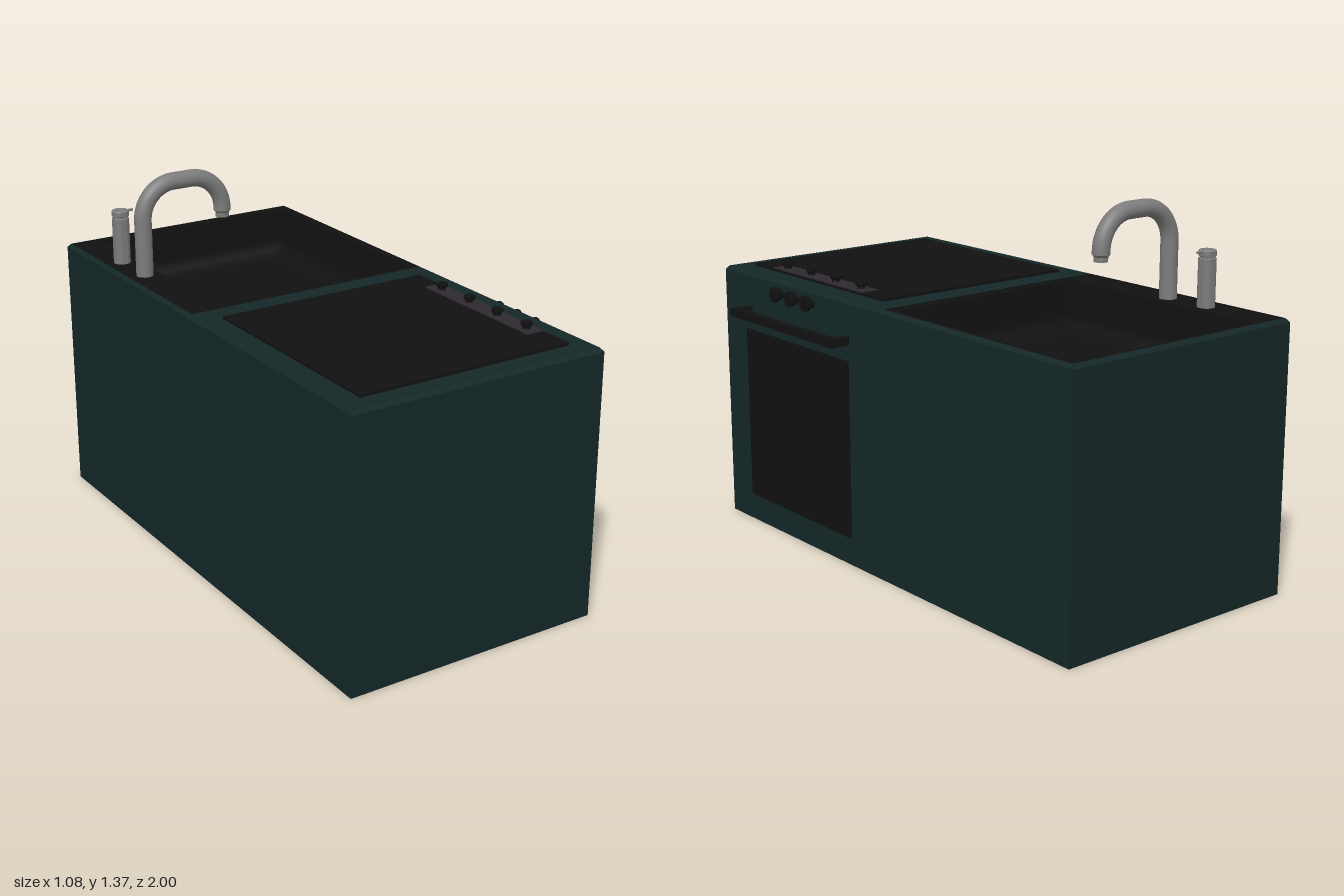
import * as THREE from 'three';
import { toCreasedNormals } from 'three/addons/utils/BufferGeometryUtils.js';

const mat = (color, extra = {}) => new THREE.MeshStandardMaterial({ color, ...extra });
const green = mat(0x142727), black = mat(0x111111), strip = mat(0x2d2930), steel = mat(0x7c7c7c);

// Surface through rectangular rings [x0, x1, z0, z1, y]; a ring may shrink to a point
function loft(rings) {
  const corners = ([x0, x1, z0, z1, y]) =>
    [[x0, y, z1], [x1, y, z1], [x1, y, z0], [x0, y, z0]].map(p => new THREE.Vector3(...p));
  const pos = [];
  const tri = (a, b, c) => {
    if (new THREE.Triangle(a, b, c).getArea() > 1e-9) for (const p of [a, b, c]) pos.push(p.x, p.y, p.z);
  };
  for (let i = 0; i + 1 < rings.length; i++) {
    const lo = corners(rings[i]), hi = corners(rings[i + 1]);
    for (let k = 0; k < 4; k++) {
      const n = (k + 1) % 4;
      tri(lo[k], lo[n], hi[n]);
      tri(lo[k], hi[n], hi[k]);
    }
  }
  const g = new THREE.BufferGeometry();
  g.setAttribute('position', new THREE.Float32BufferAttribute(pos, 3));
  return toCreasedNormals(g, 0.6);
}

export function createModel() {
  const root = new THREE.Group();
  root.name = 'kitchenUnit';

  const add = (name, geometry, material, x = 0, y = 0, z = 0, parent = root) => {
    const m = new THREE.Mesh(geometry, material);
    m.name = name;
    m.position.set(x, y, z);
    parent.add(m);
    return m;
  };
  // Box given by its limits
  const box = (name, material, x0, x1, y0, y1, z0, z1, parent) =>
    add(name, new THREE.BoxGeometry(x1 - x0, y1 - y0, z1 - z0), material,
      (x0 + x1) / 2, (y0 + y1) / 2, (z0 + z1) / 2, parent);
  const disc = (r, h, seg = 32) => new THREE.CylinderGeometry(r, r, h, seg);
  const turned = pts => toCreasedNormals(
    new THREE.LatheGeometry(pts.map(p => new THREE.Vector2(...p)), 24), 0.6);

  // Cabinet with chamfered top and a cut-out for the sink
  const cut = [-0.528, 0.443, -0.985, -0.02];
  add('cabinet', loft([
    [0, 0, 0, 0, 0],
    [-0.54, 0.455, -1, 1, 0],
    [-0.54, 0.455, -1, 1, 0.986],
    [-0.528, 0.443, -0.988, 0.988, 1],
    [...cut, 1],
  ]), green);

  // Sink: flat deck, steep walls and a curve running into the floor
  const basin = [[...cut, 1], [...cut, 0.996], [-0.4, 0.415, -0.96, -0.05, 0.996]];
  for (let i = 0; i <= 8; i++) {
    const a = (i / 8) * Math.PI / 2;
    const d = 0.01 + 0.07 * (1 - Math.cos(a));
    basin.push([-0.4 + d, 0.415 - d, -0.96 + d, -0.05 - d, 0.88 - 0.07 * Math.sin(a)]);
  }
  basin.push([0.005, 0.005, -0.505, -0.505, 0.805]);
  add('sink', loft(basin), black);
  add('drain', disc(0.05, 0.008), black, 0.005, 0.808, -0.5);

  // Tap: bent spout with a narrow nozzle
  const tap = new THREE.Group();
  tap.name = 'tap';
  root.add(tap);
  const v = (x, y) => new THREE.Vector3(x, y, -0.5);
  const path = new THREE.CurvePath();
  const k = 0.058; // handle offset that makes each bend a quarter circle
  path.add(new THREE.LineCurve3(v(-0.46, 0.995), v(-0.46, 1.205)));
  path.add(new THREE.CubicBezierCurve3(v(-0.46, 1.205), v(-0.46, 1.335 - k), v(-0.46 + k, 1.335), v(-0.33, 1.335)));
  path.add(new THREE.LineCurve3(v(-0.33, 1.335), v(-0.258, 1.335)));
  path.add(new THREE.CubicBezierCurve3(v(-0.258, 1.335), v(-0.128 - k, 1.335), v(-0.128, 1.335 - k), v(-0.128, 1.205)));
  path.add(new THREE.LineCurve3(v(-0.128, 1.205), v(-0.128, 1.195)));
  add('spout', new THREE.TubeGeometry(path, 72, 0.032, 24), steel, 0, 0, 0, tap);
  add('nozzle', turned([[0, 1.17], [0.025, 1.17], [0.025, 1.187], [0.032, 1.195], [0, 1.195]]),
    steel, -0.128, 0, -0.5, tap);

  // Tap control: column, collar groove, cap and small lever
  add('tapControl', turned([[0, 0.995], [0.032, 0.995], [0.032, 1.17], [0.028, 1.172], [0.028, 1.177],
    [0.032, 1.179], [0.032, 1.196], [0.028, 1.2], [0, 1.2]]), steel, -0.46, 0, -0.685, tap);
  add('tapLever', disc(0.005, 0.03, 12), steel, -0.423, 1.194, -0.685, tap).rotation.z = Math.PI / 2;

  // Cooktop with four hot plates
  const hob = new THREE.Group();
  hob.name = 'cooktop';
  root.add(hob);
  box('glassPlate', black, -0.46, 0.37, 0.999, 1.01, 0.08, 0.92, hob);
  for (const [x, z, r] of [[-0.25, 0.27, 0.12], [-0.25, 0.72, 0.1], [0.12, 0.3, 0.1], [0.12, 0.72, 0.12]])
    add('hotPlate', disc(r, 0.002, 48), black, x, 1.011, z, hob);
  box('controlStrip', strip, 0.3, 0.37, 1.009, 1.013, 0.21, 0.79, hob);

  // Flared knobs on the cooktop and the oven
  const knob = (r, h) => turned([[0, 0], [r * 0.7, 0], [r * 0.65, h * 0.35], [r * 0.95, h * 0.55], [r, h * 0.65], [r, h], [0, h]]);
  for (const z of [0.265, 0.425, 0.583, 0.742]) add('cooktopKnob', knob(0.021, 0.024), black, 0.335, 1.012, z, hob);

  // Oven door, window, knobs and handle
  const oven = new THREE.Group();
  oven.name = 'oven';
  root.add(oven);
  box('ovenDoor', green, 0.45, 0.463, 0.05, 0.92, 0.085, 0.92, oven);
  box('ovenWindow', black, 0.455, 0.468, 0.11, 0.78, 0.17, 0.84, oven);
  for (const z of [0.41, 0.51, 0.61])
    add('ovenKnob', knob(0.029, 0.037), black, 0.453, 0.952, z, oven).rotation.z = -Math.PI / 2;
  box('handleBar', black, 0.507, 0.54, 0.84, 0.87, 0.165, 0.835, oven);
  for (const z of [0.165, 0.802]) box('handlePost', black, 0.46, 0.507, 0.84, 0.87, z, z + 0.033, oven);

  return root;
}
